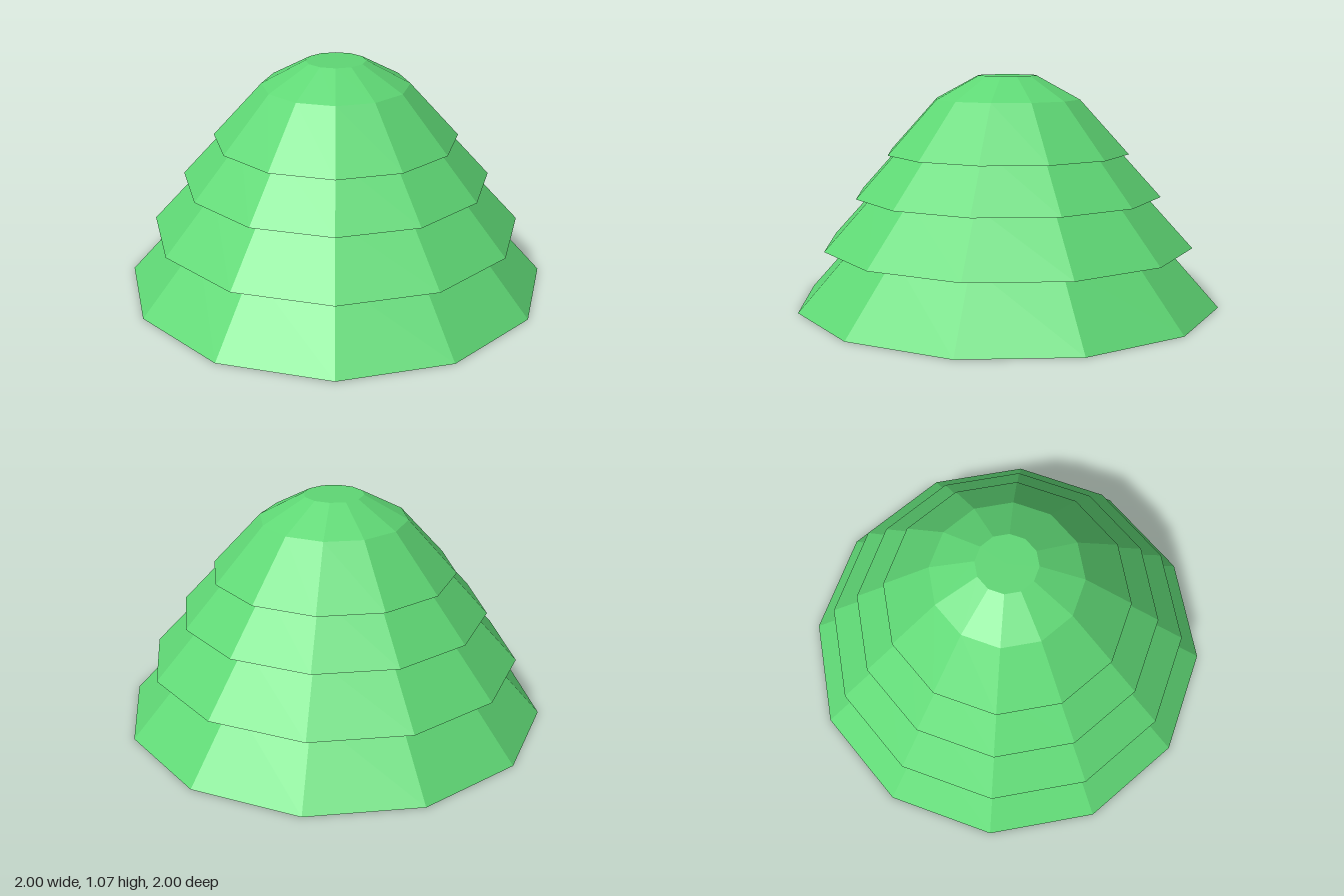
import * as THREE from 'three';

const SIDES = 12;

// Profiles as [radius, height], from the rim up over the shoulder
const TIERS = [
  { name: 'bottomTier', profile: [[1, 0], [0.72, 0.31], [0.41, 0.41]] },
  { name: 'lowerMiddleTier', profile: [[0.875, 0.275], [0.63, 0.54], [0.36, 0.635]] },
  { name: 'upperMiddleTier', profile: [[0.725, 0.51], [0.49, 0.765], [0.27, 0.86]] },
  // The top tier is closed by a flat cap
  { name: 'topTier', profile: [[0.575, 0.705], [0.345, 0.955], [0.14, 1.065], [0, 1.065]] },
];

export function createModel() {
  const group = new THREE.Group();
  group.name = 'layeredFoliage';

  const leafMaterial = new THREE.MeshStandardMaterial({
    color: 0x5fd875,
    flatShading: true,
    side: THREE.DoubleSide,
  });

  // Hollow, overlapping skirts of foliage
  for (const { name, profile } of TIERS) {
    const points = profile.map(([r, y]) => new THREE.Vector2(r, y));
    const tier = new THREE.Mesh(new THREE.LatheGeometry(points, SIDES), leafMaterial);
    tier.name = name;
    group.add(tier);
  }
  return group;
}
